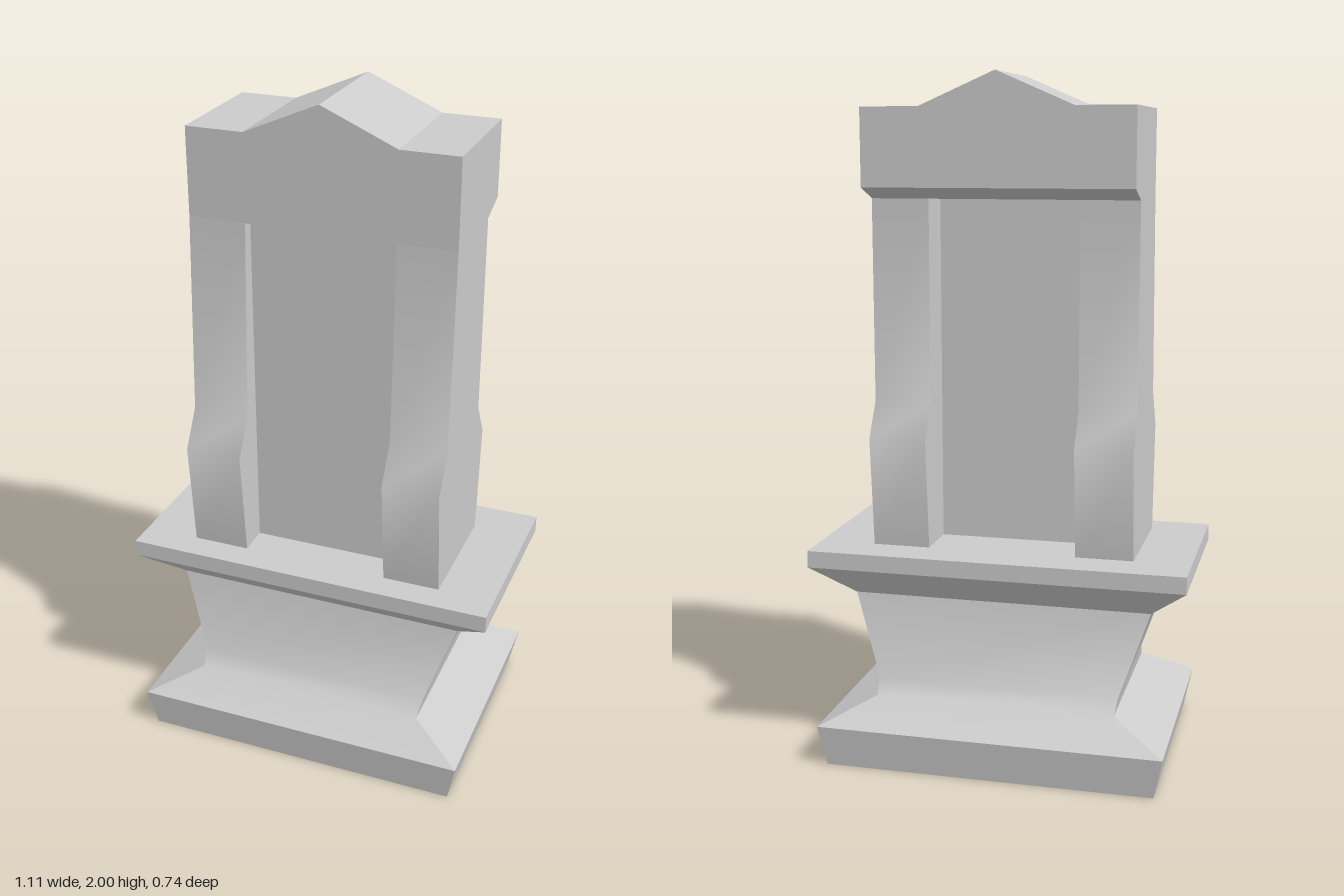
import * as THREE from 'three';
import { toCreasedNormals } from 'three/addons/utils/BufferGeometryUtils.js';

const CREASE = THREE.MathUtils.degToRad(40);
const material = new THREE.MeshStandardMaterial({ color: 0xcccccc });

function part(name, geometry, x = 0) {
  const g = geometry.index ? geometry.toNonIndexed() : geometry;
  const mesh = new THREE.Mesh(toCreasedNormals(g, CREASE), material);
  mesh.name = name;
  mesh.position.x = x;
  return mesh;
}

function extrude(points, depth) {
  const shape = new THREE.Shape(points.map(([a, b]) => new THREE.Vector2(a, b)));
  return new THREE.ExtrudeGeometry(shape, { depth, bevelEnabled: false });
}

// Side profile of [z, y] points, swept across x and centred on x = 0
function sweepAcross(profile, width) {
  return extrude(profile, width).rotateY(-Math.PI / 2).translate(width / 2, 0, 0);
}

// Stack of rectangles, each [y, half width, half depth], capped at both ends
function stackedRectangles(levels) {
  const positions = [], index = [];
  for (const [y, w, d] of levels) positions.push(-w, y, d, w, y, d, w, y, -d, -w, y, -d);
  for (let i = 0; i < levels.length - 1; i++) {
    for (let k = 0; k < 4; k++) {
      const a = i * 4 + k, b = i * 4 + (k + 1) % 4;
      index.push(a, b, b + 4, a, b + 4, a + 4);
    }
  }
  const t = (levels.length - 1) * 4;
  index.push(0, 2, 1, 0, 3, 2, t, t + 1, t + 2, t, t + 2, t + 3);
  const g = new THREE.BufferGeometry();
  g.setAttribute('position', new THREE.Float32BufferAttribute(positions, 3));
  g.setIndex(index);
  return g;
}

export function createModel() {
  const model = new THREE.Group();
  model.name = 'monument';

  // Pedestal: plinth, waisted neck and overhanging ledge
  model.add(part('pedestal', stackedRectangles([
    [0, 0.485, 0.355], [0.12, 0.51, 0.37], [0.195, 0.355, 0.27], [0.235, 0.36, 0.23],
    [0.48, 0.445, 0.18], [0.58, 0.557, 0.29], [0.63, 0.557, 0.29],
  ])));

  // Pillars, bulging near the foot
  const pillar = [
    [0.205, 0.63], [0.235, 0.955], [0.17, 1.065], [0.143, 1.65],
    [-0.138, 1.65], [-0.138, 1.06], [-0.2, 0.955], [-0.17, 0.63],
  ];
  for (const [name, side] of [['leftPillar', 1], ['rightPillar', -1]]) {
    model.add(part(name, sweepAcross(pillar, 0.17), side * 0.305));
  }

  // Recessed panel between the pillars
  model.add(part('panel', new THREE.BoxGeometry(0.44, 1.02, 0.13).translate(0, 1.14, 0.045)));

  // Lintel, overhanging at the back
  model.add(part('lintel', sweepAcross([
    [0.143, 1.65], [0.143, 1.905], [-0.23, 1.905], [-0.23, 1.683], [-0.138, 1.65],
  ], 0.78)));

  // Gable on top of the lintel
  const gable = extrude([[-0.22, 1.905], [0.22, 1.905], [0, 2]], 0.373);
  model.add(part('gable', gable.translate(0, 0, -0.23)));

  return model;
}
